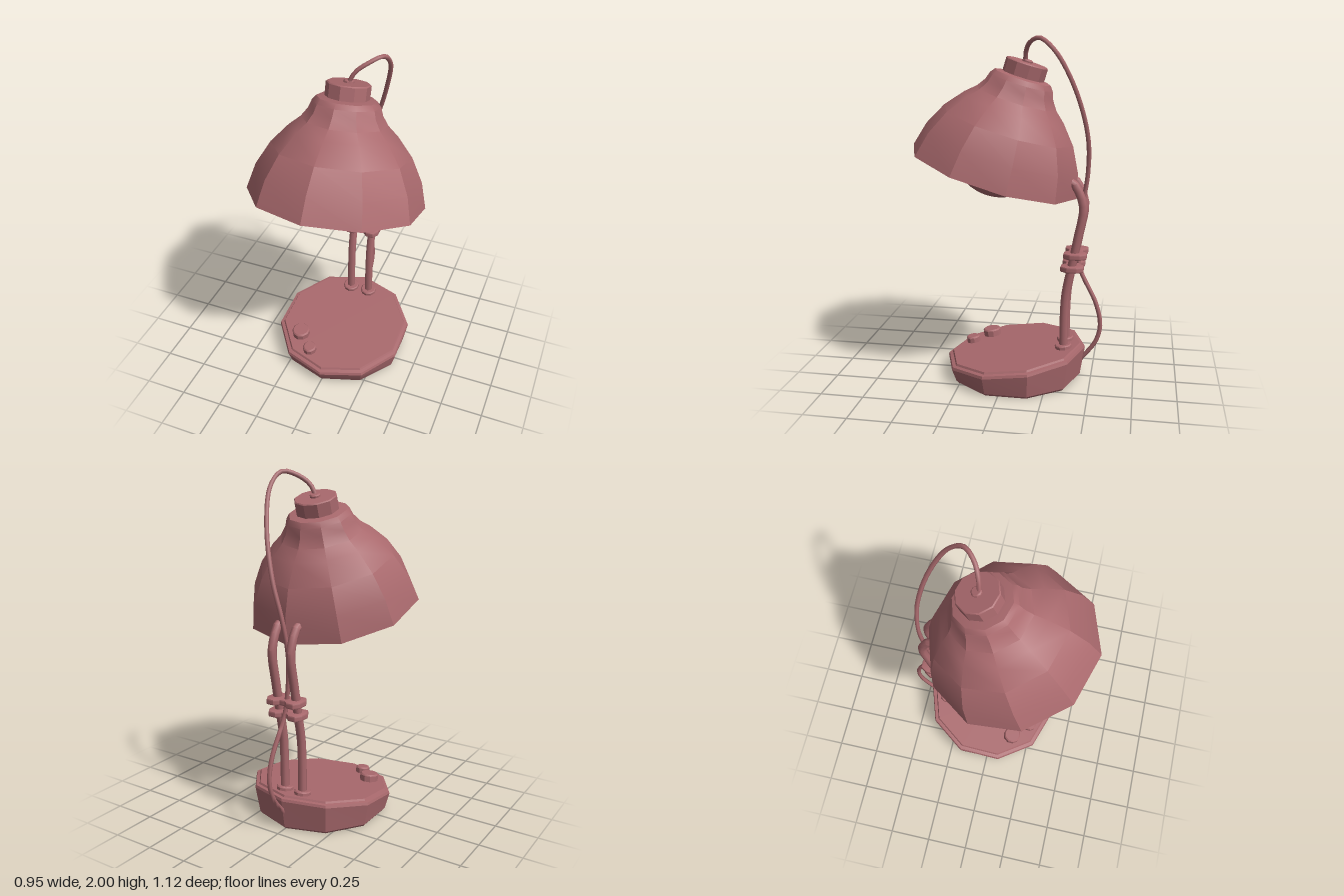
import * as THREE from 'three';
import { toCreasedNormals } from 'three/addons/utils/BufferGeometryUtils.js';

const material = new THREE.MeshStandardMaterial({ color: 0xa9696d });
const SIDES = 10;
const SLOPE = 0.13;      // fall of the base top towards the front
const BASE_Z = -0.045;
const baseTop = (z) => 0.16 - SLOPE * (z - BASE_Z);

function add(parent, name, geometry, x = 0, y = 0, z = 0, crease = 0.52) {
  const mesh = new THREE.Mesh(crease ? toCreasedNormals(geometry, crease) : geometry, material);
  mesh.name = name;
  mesh.position.set(x, y, z);
  parent.add(mesh);
  return mesh;
}

const lathe = (points, sides = SIDES) =>
  new THREE.LatheGeometry(points.map(([r, y]) => new THREE.Vector2(r, y)), sides);

function tube(points, radius, segments, sides) {
  const curve = new THREE.CatmullRomCurve3(points.map((p) => new THREE.Vector3(...p)));
  return new THREE.TubeGeometry(curve, segments, radius, sides);
}

// Small bevelled disc: knobs, collars, cap
const disc = (r, h, bevel, sides = SIDES) =>
  lathe([[0, 0], [r, 0], [r, h - bevel], [r - bevel, h], [0, h]], sides);

// Peanut-shaped clamp outline, mirrored through both axes
function clampGeometry() {
  const quarter = [[0.102, 0.026], [0.082, 0.058], [0.046, 0.058], [0.02, 0.034]];
  const mirror = (sx, sy, pts) => pts.map(([x, y]) => new THREE.Vector2(x * sx, y * sy));
  const back = [...quarter].reverse();
  const outline = [
    ...mirror(1, 1, quarter), ...mirror(-1, 1, back),
    ...mirror(-1, -1, quarter), ...mirror(1, -1, back),
  ];
  const geometry = new THREE.ExtrudeGeometry(new THREE.Shape(outline), {
    depth: 0.016, bevelEnabled: true, bevelThickness: 0.01, bevelSize: 0.009, bevelSegments: 2,
  });
  return geometry.translate(0, 0, -0.008).rotateX(-Math.PI / 2);
}

export function createModel() {
  const lamp = new THREE.Group();
  lamp.name = 'deskLamp';

  // Wedge base: a ten-sided body whose upper rings are sheared to slope forward
  const base = lathe([
    [0, 0], [0.378, 0], [0.39, 0.014], [0.417, 0.13], [0.412, 0.145],
    [0.392, 0.149], [0.386, 0.16], [0, 0.16],
  ]);
  const p = base.attributes.position;
  for (let i = 0; i < p.count; i++) {
    if (p.getY(i) > 0.05) p.setY(i, p.getY(i) - SLOPE * p.getZ(i));
  }
  add(lamp, 'base', base, 0, 0, BASE_Z, 0.4);

  // Two control knobs
  for (const [name, x, z, r, h] of [
    ['largeKnob', -0.222, 0.14, 0.055, 0.045],
    ['smallKnob', -0.12, 0.24, 0.042, 0.04],
  ]) {
    add(lamp, name, disc(r, h, 0.008), x, baseTop(z) - 0.002, z).rotation.x = SLOPE;
  }

  // Twin posts with collars
  for (const side of [-1, 1]) {
    const x = 0.061 * side;
    const label = side > 0 ? 'left' : 'right';
    add(lamp, label + 'Post', tube([
      [x, 0.17, -0.34], [x, 0.38, -0.34], [x, 0.53, -0.348], [x, 0.7, -0.38],
      [x, 0.86, -0.41], [x, 1.04, -0.44], [x, 1.12, -0.42], [x, 1.18, -0.385], [x, 1.2, -0.35],
    ], 0.025, 24, 8), 0, 0, 0, 0.8);
    add(lamp, label + 'Collar', disc(0.05, 0.024, 0.006), x, baseTop(-0.34) - 0.002, -0.34).rotation.x = SLOPE;
  }

  // Clamps holding the posts together
  add(lamp, 'upperClamp', clampGeometry(), 0, 0.764, -0.398);
  add(lamp, 'lowerClamp', clampGeometry(), 0, 0.687, -0.382);

  // Head, tilted so the shade opens forward
  const head = new THREE.Group();
  head.name = 'head';
  head.position.set(0, 1.23, 0.083);
  head.rotation.x = -0.297;
  lamp.add(head);

  const outer = [
    [0.5, 0], [0.46, 0.145], [0.388, 0.28], [0.297, 0.387], [0.237, 0.44],
    [0.202, 0.49], [0.186, 0.535], [0.165, 0.562], [0.1, 0.572], [0, 0.572],
  ];
  const inner = outer.map(([r, y]) => [Math.max(0, r - 0.022), y ? y - 0.016 : 0]).reverse();
  add(head, 'shade', lathe([...inner, ...outer]));
  add(head, 'bulb', new THREE.SphereGeometry(0.287, 32, 20), 0, 0.146, 0, 0);
  add(head, 'cap', disc(0.122, 0.083, 0.006), 0, 0.565, 0);
  add(head, 'grommet', disc(0.03, 0.018, 0.006), 0, 0.645, 0);

  // Power cord looping from the cap, between the posts, into the back of the base
  add(lamp, 'cord', tube([
    [0, 1.845, -0.095], [0.035, 1.915, -0.105], [0.1, 1.965, -0.14], [0.155, 1.983, -0.2],
    [0.168, 1.91, -0.285], [0.12, 1.71, -0.388], [0.04, 1.445, -0.455], [-0.02, 1.23, -0.455],
    [-0.035, 1.02, -0.425], [-0.015, 0.81, -0.41], [0, 0.68, -0.42], [0.015, 0.465, -0.522],
    [0.015, 0.335, -0.549], [0.01, 0.23, -0.525], [0, 0.11, -0.44],
  ], 0.013, 72, 6), 0, 0, 0, 1.2);

  return lamp;
}
